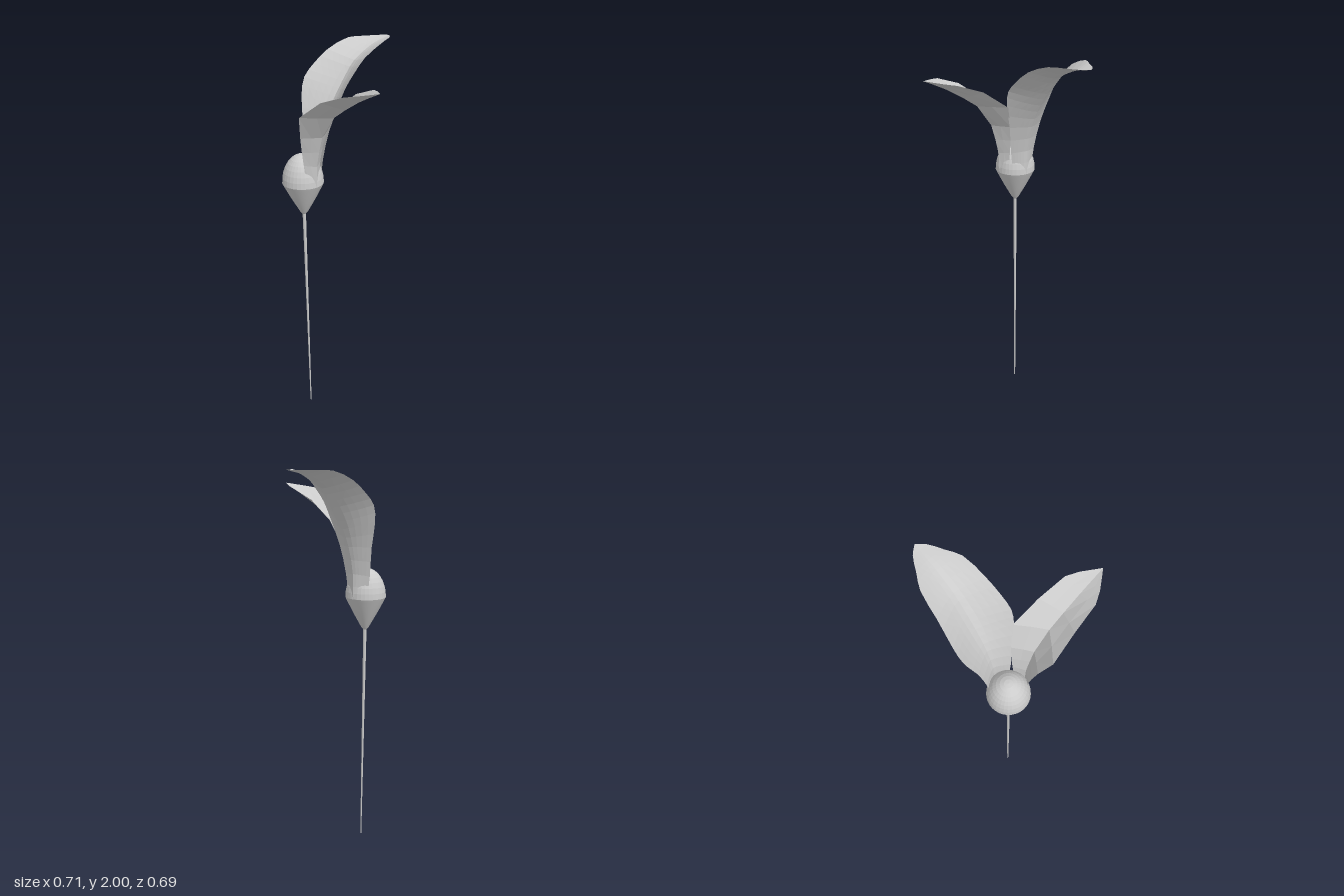
import * as THREE from 'three';

const CX = -0.23, CZ = -0.2;
const material = (opts = {}) => new THREE.MeshStandardMaterial({ color: 0xcccccc, ...opts });

// Keeled petal lofted from rows of [spine out, spine y, edge out, edge y, half width];
// power 1 gives a sharp V section, higher values a rounder trough
function petalGeometry(rows, across, power, steps, place) {
  const spine = new THREE.CatmullRomCurve3(rows.map(r => new THREE.Vector3(r[0], r[1], 0)));
  const edge = new THREE.CatmullRomCurve3(rows.map(r => new THREE.Vector3(r[2], r[3], r[4])));
  const count = (rows.length - 1) * steps;
  const positions = [], index = [];
  for (let i = 0; i <= count; i++) {
    const s = spine.getPoint(i / count), e = edge.getPoint(i / count);
    for (let j = 0; j <= across; j++) {
      const u = j / across * 2 - 1;
      const p = s.clone().lerp(e, Math.abs(u) ** power);
      positions.push(...place(p.x, p.y, e.z * u));
      if (i < count && j < across) {
        const k = i * (across + 1) + j, n = k + across + 1;
        index.push(k, k + 1, n, k + 1, n + 1, n);
      }
    }
  }
  const g = new THREE.BufferGeometry();
  g.setAttribute('position', new THREE.Float32BufferAttribute(positions, 3));
  g.setIndex(index);
  g.computeVertexNormals();
  return g;
}

export function createModel() {
  const model = new THREE.Group();
  const add = (name, geometry, mat, y = 0, x = 0, z = 0) => {
    const mesh = new THREE.Mesh(geometry, mat);
    mesh.name = name;
    mesh.position.set(x, y, z);
    model.add(mesh);
  };

  // Slender stem, tapering towards the ground
  add('stem', new THREE.CylinderGeometry(0.009, 0.003, 1.19, 12), material(), 0.595, CX, CZ);

  // Conical cup under the flower
  const cup = [[0.007, 1.175], [0.02, 1.19], [0.062, 1.265], [0.098, 1.335], [0.105, 1.35]]
    .map(p => new THREE.Vector2(...p));
  add('cup', new THREE.LatheGeometry(cup, 32), material({ side: THREE.DoubleSide }), 0, CX, CZ);

  // Domed heart
  const dome = new THREE.SphereGeometry(0.105, 32, 8, 0, Math.PI * 2, 0, Math.PI / 2);
  dome.scale(1, 1.43, 1);
  add('heart', dome, material({ flatShading: true, side: THREE.DoubleSide }), 1.35, CX, CZ);

  const petalMaterial = material({ flatShading: true, side: THREE.DoubleSide });

  // Large arching petal, leaning to +x
  add('sidePetal', petalGeometry([
    [-0.125, 1.35, -0.165, 1.36, 0.06],
    [-0.123, 1.48, -0.163, 1.47, 0.075],
    [-0.085, 1.62, -0.14, 1.62, 0.1],
    [-0.04, 1.71, -0.112, 1.75, 0.138],
    [0.01, 1.785, -0.08, 1.83, 0.152],
    [0.06, 1.85, -0.02, 1.89, 0.147],
    [0.115, 1.91, 0.06, 1.95, 0.135],
    [0.22, 1.965, 0.18, 1.995, 0.115],
    [0.27, 1.982, 0.25, 1.998, 0.077],
    [0.32, 1.992, 0.32, 1.999, 0.037],
    [0.352, 2.0, 0.352, 2.0, 0],
  ], 10, 1.3, 2, (out, y, w) => [out, y, -0.192 + 0.03 * out + w]), petalMaterial);

  // Smaller, more angular petal, leaning to the front
  add('frontPetal', petalGeometry([
    [-0.095, 1.35, -0.125, 1.37, 0.04],
    [-0.09, 1.46, -0.125, 1.47, 0.053],
    [-0.07, 1.54, -0.12, 1.54, 0.066],
    [-0.045, 1.62, -0.105, 1.62, 0.085],
    [0.04, 1.735, -0.06, 1.74, 0.125],
    [0.12, 1.79, 0.075, 1.835, 0.108],
    [0.21, 1.845, 0.21, 1.885, 0.09],
    [0.275, 1.878, 0.265, 1.895, 0.06],
    [0.343, 1.91, 0.343, 1.91, 0],
  ], 4, 1.1, 1, (out, y, w) => [CX + w, y, out]), petalMaterial);

  return model;
}
